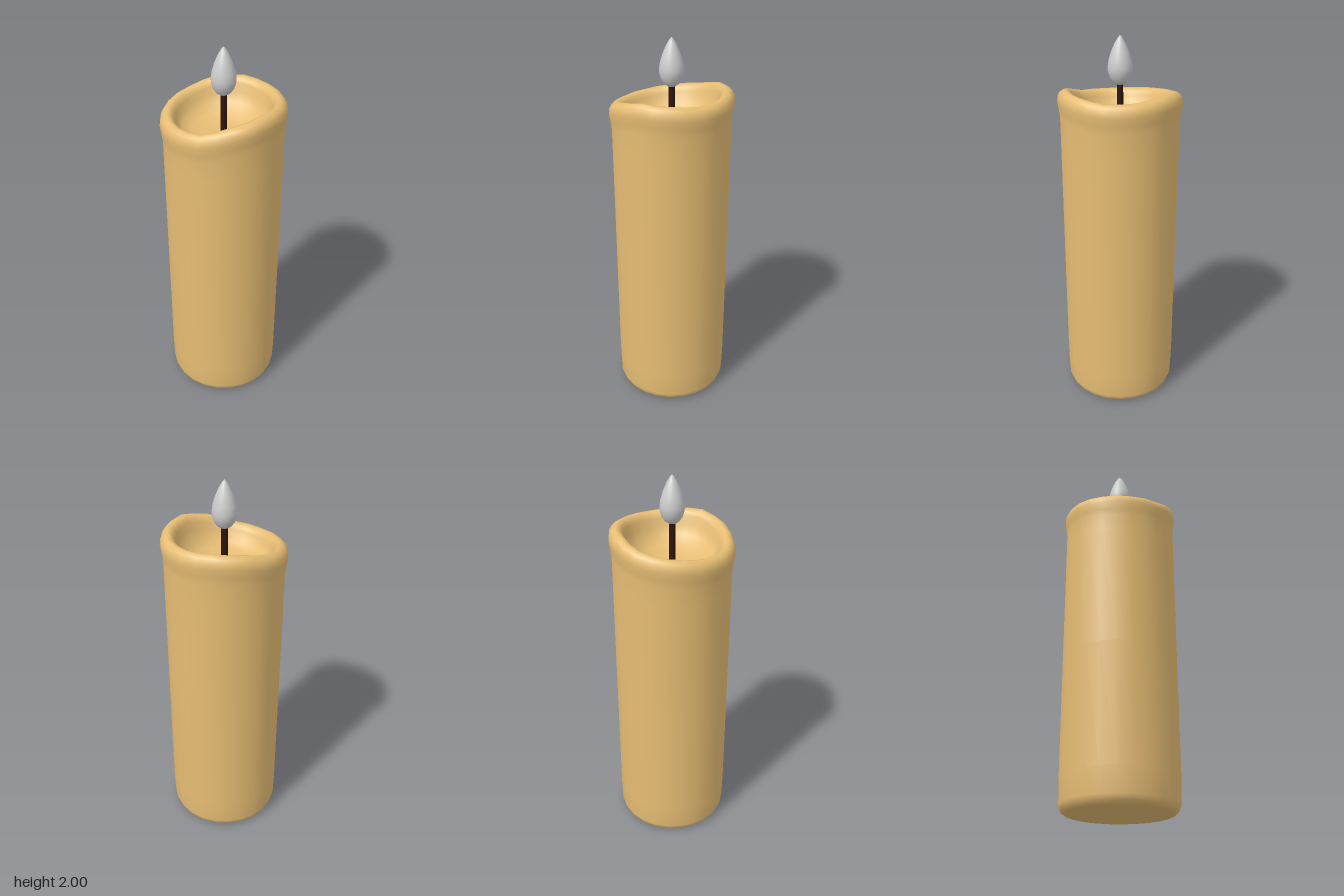
import * as THREE from 'three';
import { mergeVertices } from 'three/addons/utils/BufferGeometryUtils.js';

// Rim height every 30 degrees, starting at the front and turning towards +x
const RIM = [1.665, 1.675, 1.72, 1.75, 1.745, 1.735, 1.74, 1.75, 1.74, 1.705, 1.685, 1.67];
const RIM_BASE = 1.7;

function rimOffset(angle) {
  const t = ((angle / (Math.PI * 2) + 1) % 1) * RIM.length;
  const i = Math.floor(t);
  const a = RIM[i % RIM.length], b = RIM[(i + 1) % RIM.length];
  return THREE.MathUtils.lerp(a, b, t - i) - RIM_BASE;
}

// Smooth lathe without a seam; warp(x, y, z) may return a new height
function smoothLathe(points, sides, warp) {
  let geo = new THREE.LatheGeometry(points.map(([r, y]) => new THREE.Vector2(r, y)), sides);
  const pos = geo.attributes.position;
  if (warp) {
    for (let i = 0; i < pos.count; i++) {
      pos.setY(i, warp(pos.getX(i), pos.getY(i), pos.getZ(i), i % points.length));
    }
  }
  geo.deleteAttribute('uv');
  geo.deleteAttribute('normal');
  geo = mergeVertices(geo, 1e-5);
  geo.computeVertexNormals();
  return geo;
}

function addPart(group, name, geometry, color) {
  const mesh = new THREE.Mesh(geometry, new THREE.MeshStandardMaterial({ color }));
  mesh.name = name;
  group.add(mesh);
}

export function createModel() {
  const group = new THREE.Group();
  group.name = 'candle';

  // Wax: outer wall, melted lip and hollow; third value = how far the point follows the rim
  const wax = [
    [0, 0.005, 0], [0.262, 0.005, 0], [0.275, 0.008, 0], [0.29, 0.022, 0], [0.3, 0.05, 0],
    [0.303, 0.18, 0], [0.303, 0.8, 0], [0.303, 1.45, 0.3], [0.303, 1.56, 1],
    [0.309, 1.6, 1], [0.315, 1.64, 1], [0.312, 1.668, 1], [0.3, 1.688, 1], [0.282, 1.699, 1],
    [0.265, 1.697, 1], [0.25, 1.685, 1], [0.24, 1.665, 1], [0.23, 1.635, 0.8],
    [0.21, 1.6, 0.5], [0.17, 1.572, 0.25], [0.1, 1.556, 0.05], [0, 1.55, 0],
  ];
  addPart(group, 'waxBody', smoothLathe(wax, 24,
    (x, y, z, k) => y + wax[k][2] * rimOffset(Math.atan2(x, z))), 0xe6bd74);

  // Wick
  const wick = new THREE.CylinderGeometry(0.016, 0.017, 0.25, 12);
  wick.translate(0, 1.655, 0);
  addPart(group, 'wick', wick, 0x2e150c);

  // Flame: teardrop
  const flame = [
    [0, 1.758], [0.018, 1.76], [0.036, 1.772], [0.051, 1.793], [0.06, 1.82], [0.062, 1.845],
    [0.057, 1.878], [0.045, 1.918], [0.029, 1.957], [0.013, 1.985], [0, 2],
  ];
  addPart(group, 'flame', smoothLathe(flame, 32), 0xcccccc);

  return group;
}
